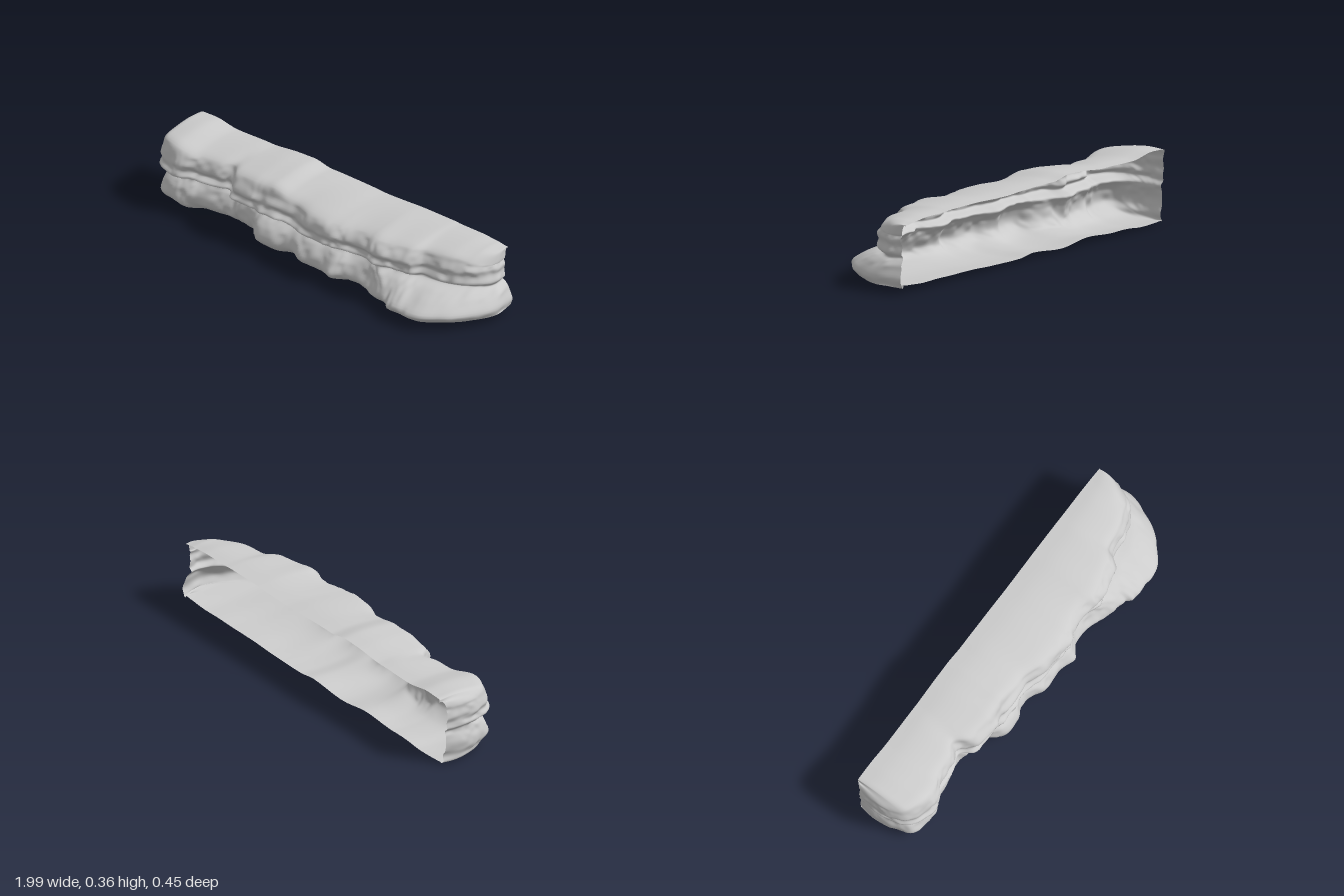
import * as THREE from 'three';

// Plan outlines [x, z] of the two rock beds, from the back of one end round the front to the other
const UPPER = [
  [-0.975, -0.198], [-0.985, -0.1], [-0.975, -0.01], [-0.94, 0.06], [-0.84, 0.1], [-0.78, 0.1], [-0.71, 0.07],
  [-0.6, 0.055], [-0.53, 0.035], [-0.47, 0.085], [-0.36, 0.105], [-0.29, 0.105], [-0.2, 0.105], [-0.1, 0.1],
  [0, 0.13], [0.12, 0.138], [0.2, 0.138], [0.27, 0.118], [0.38, 0.118], [0.44, 0.138], [0.52, 0.118],
  [0.61, 0.095], [0.66, 0.05], [0.77, 0.03], [0.86, -0.005], [0.92, -0.06], [0.947, -0.13], [0.943, -0.198]];
const LOWER = [
  [-0.955, -0.2], [-0.97, -0.1], [-0.96, -0.01], [-0.93, 0.06], [-0.84, 0.085], [-0.78, 0.09], [-0.71, 0.055],
  [-0.6, 0.04], [-0.53, 0.03], [-0.47, 0.04], [-0.36, 0.07], [-0.29, 0.13], [-0.2, 0.135], [-0.1, 0.105],
  [0, 0.15], [0.12, 0.148], [0.2, 0.165], [0.26, 0.135], [0.38, 0.135], [0.47, 0.17], [0.55, 0.19],
  [0.61, 0.22], [0.69, 0.215], [0.77, 0.215], [0.86, 0.15], [0.945, 0.045], [0.995, -0.085], [0.967, -0.218]];

// Heights along x of the crest and of the underside
const CREST = [[-1, 0.335], [-0.93, 0.358], [-0.86, 0.36], [-0.72, 0.342], [-0.5, 0.346], [-0.25, 0.362],
  [-0.14, 0.344], [0.2, 0.338], [0.45, 0.344], [0.78, 0.343], [0.88, 0.337], [0.96, 0.322]];
const BASE = [[-1, 0.016], [-0.8, 0.009], [-0.6, 0.017], [-0.4, 0.03], [-0.2, 0.009], [0, 0.024],
  [0.1, 0.012], [0.3, 0.019], [0.55, 0.026], [0.8, 0.027], [1, 0.036]];

const curve = (pts) => new THREE.CatmullRomCurve3(pts.map(([x, z]) => new THREE.Vector3(x, 0, z)));
const { clamp, lerp, smoothstep } = THREE.MathUtils;

function heightAt(table, x) {
  let i = 1;
  while (i < table.length - 1 && table[i][0] < x) i++;
  const [x0, y0] = table[i - 1], [x1, y1] = table[i];
  return lerp(y0, y1, smoothstep(x, x0, x1));
}

// Smooth value noise from a hashed lattice
function hash(i, j) {
  const s = Math.sin(i * 127.1 + j * 311.7) * 43758.5453;
  return (s - Math.floor(s)) * 2 - 1;
}
function noise(a, b) {
  const i = Math.floor(a), j = Math.floor(b);
  const f = smoothstep(a - i, 0, 1), g = smoothstep(b - j, 0, 1);
  return lerp(lerp(hash(i, j), hash(i + 1, j), f), lerp(hash(i, j + 1), hash(i + 1, j + 1), f), g);
}

// Section of the ledge at one place on the outline, from top back edge to bottom back edge
function section(u, up, low) {
  const V = (x, y, z) => new THREE.Vector3(x, y, z);
  const top = heightAt(CREST, up.x), base = heightAt(BASE, low.x);
  const backTop = V(clamp(up.x, -0.95, 0.94), top - 0.003, -0.224);
  const backLow = V(clamp(low.x, -0.94, 0.95), base + 0.006, -0.217);
  const inset = (back, p, k, y) => V(lerp(back.x, p.x, k), y, lerp(back.z, p.z, k));
  const mix = (k, y, grow) => {
    const x = lerp(low.x, up.x, k), z = lerp(low.z, up.z, k);
    return V(x * (1 + grow * 0.4), y, z + grow * clamp((z + 0.2) * 5, 0, 1));
  };
  const round = smoothstep(up.x, 0.8, 0.94) * 0.015;
  const sag = smoothstep(up.x, 0.5, 0.95) * 0.012;
  const lip = noise(u * 24, 50) * 0.008;
  return new THREE.CatmullRomCurve3([
    backTop,
    inset(backTop, up, 0.3, top),
    inset(backTop, up, 0.65, top - 0.012),
    inset(backTop, up, 0.9, top - 0.032 - round),
    mix(1, 0.286 - round, -0.008),
    mix(1, 0.252, 0.008),
    mix(1, 0.224, -0.004 + lip),
    mix(1, 0.2 - sag, 0.012),
    mix(0.85, 0.177 - sag, -0.042),
    mix(0.6, 0.153 - sag * 0.5, -0.022),
    mix(0.3, 0.118, -0.002),
    mix(0, 0.072, 0.008),
    mix(0, 0.042, -0.016),
    inset(backLow, low, 0.78, base + 0.004),
    inset(backLow, low, 0.4, base - 0.004),
    backLow,
  ], false, 'centripetal');
}

// Open-backed skin swept round the outline and roughened
function ledgeGeometry(nu = 260, nv = 70) {
  const upper = curve(UPPER), lower = curve(LOWER);
  const pos = [], index = [];
  for (let i = 0; i <= nu; i++) {
    const u = i / nu;
    const sec = section(u, upper.getPoint(u), lower.getPoint(u));
    for (let j = 0; j <= nv; j++) {
      const v = j / nv;
      const p = sec.getPoint(v);
      const face = smoothstep(v, 0.15, 0.3) * (1 - smoothstep(v, 0.75, 0.88));
      const n = noise(u * 34, v * 9) * 0.01 + noise(u * 80 + 7, v * 22) * 0.005;
      const end = clamp((Math.abs(p.x) - 0.88) * 10, 0, 1);
      p.z += n * face * (1 - end);
      p.x += Math.sign(p.x) * n * face * end * 0.7;
      p.y += noise(u * 22 + 3, v * 5) * lerp(0.003, 0.005, face);
      pos.push(clamp(p.x, -1, 1), Math.max(p.y, 0), p.z);
      if (i < nu && j < nv) {
        const a = i * (nv + 1) + j, b = a + nv + 1;
        index.push(a, a + 1, b, b, a + 1, b + 1);
      }
    }
  }
  const geo = new THREE.BufferGeometry();
  geo.setAttribute('position', new THREE.Float32BufferAttribute(pos, 3));
  geo.setIndex(index);
  geo.computeVertexNormals();
  return geo;
}

export function createModel() {
  const group = new THREE.Group();
  group.name = 'rockLedge';
  const stone = new THREE.MeshStandardMaterial({ color: 0xcccccc, side: THREE.DoubleSide });
  const ledge = new THREE.Mesh(ledgeGeometry(), stone);
  ledge.name = 'layeredRockFace';
  group.add(ledge);
  return group;
}
